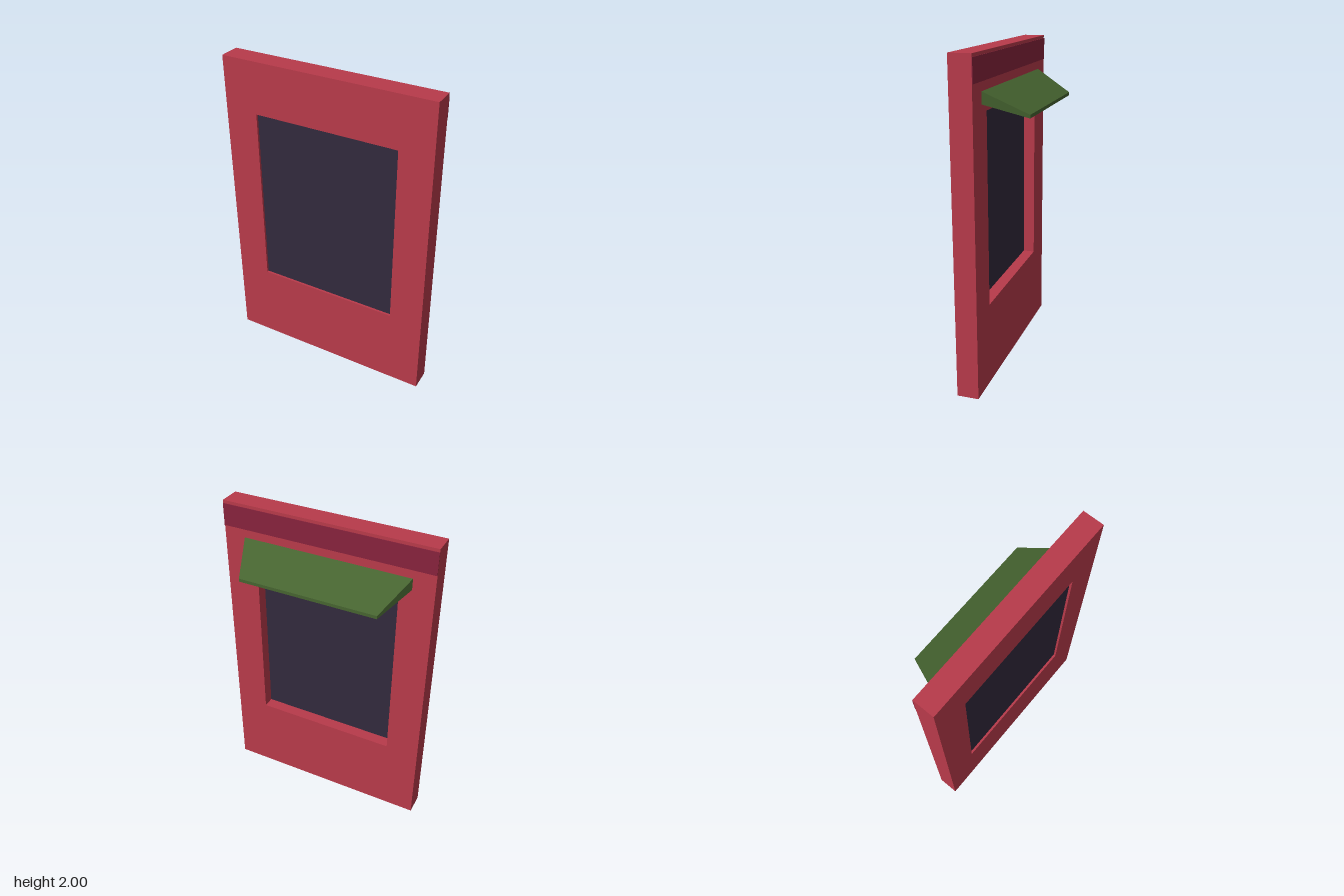
import * as THREE from 'three';

const mat = (color) => new THREE.MeshStandardMaterial({ color, flatShading: true });

// Adds a closed rectangle to a path or shape
function rect(path, x, y0, y1) {
  path.moveTo(-x, y0);
  path.lineTo(x, y0);
  path.lineTo(x, y1);
  path.lineTo(-x, y1);
  path.closePath();
  return path;
}

export function createModel() {
  const group = new THREE.Group();
  const add = (name, geometry, material) => {
    const mesh = new THREE.Mesh(geometry, material);
    mesh.name = name;
    group.add(mesh);
    return mesh;
  };

  const back = 0.054, depth = 0.133;
  const winX = 0.457, winY0 = 0.515, winY1 = 1.675;

  // Wall panel with a window opening
  const shape = rect(new THREE.Shape(), 0.667, 0, 2);
  shape.holes.push(rect(new THREE.Path(), winX, winY0, winY1));
  const wall = add('wall', new THREE.ExtrudeGeometry(shape, { depth, bevelEnabled: false }), mat(0xb83a4a));
  wall.position.z = back;

  // Dark pane set into the opening, closer to the front
  const pane = add('windowPane', new THREE.BoxGeometry(winX * 2, winY1 - winY0, 0.045), mat(0x32293c));
  pane.position.set(0, (winY0 + winY1) / 2, 0.15);

  // Thin trim band across the top of the back
  const trim = add('trimBand', new THREE.BoxGeometry(1.334, 0.138, 0.006), mat(0x87233c));
  trim.position.set(0, 1.912, back - 0.001);

  // Sloping awning: a box whose outer end is narrower, thinner and lower
  const awningGeo = new THREE.BoxGeometry(2, 2, 2);
  const p = awningGeo.attributes.position;
  for (let i = 0; i < p.count; i++) {
    const atWall = p.getZ(i) > 0, top = p.getY(i) > 0;
    const x = p.getX(i) * (atWall ? 0.533 : 0.433);
    const y = atWall ? (top ? 1.79 : 1.72) : (top ? 1.66 : 1.64);
    p.setXYZ(i, x, y, atWall ? back : -0.187);
  }
  awningGeo.computeVertexNormals();
  add('awning', awningGeo, mat(0x466430));

  return group;
}
